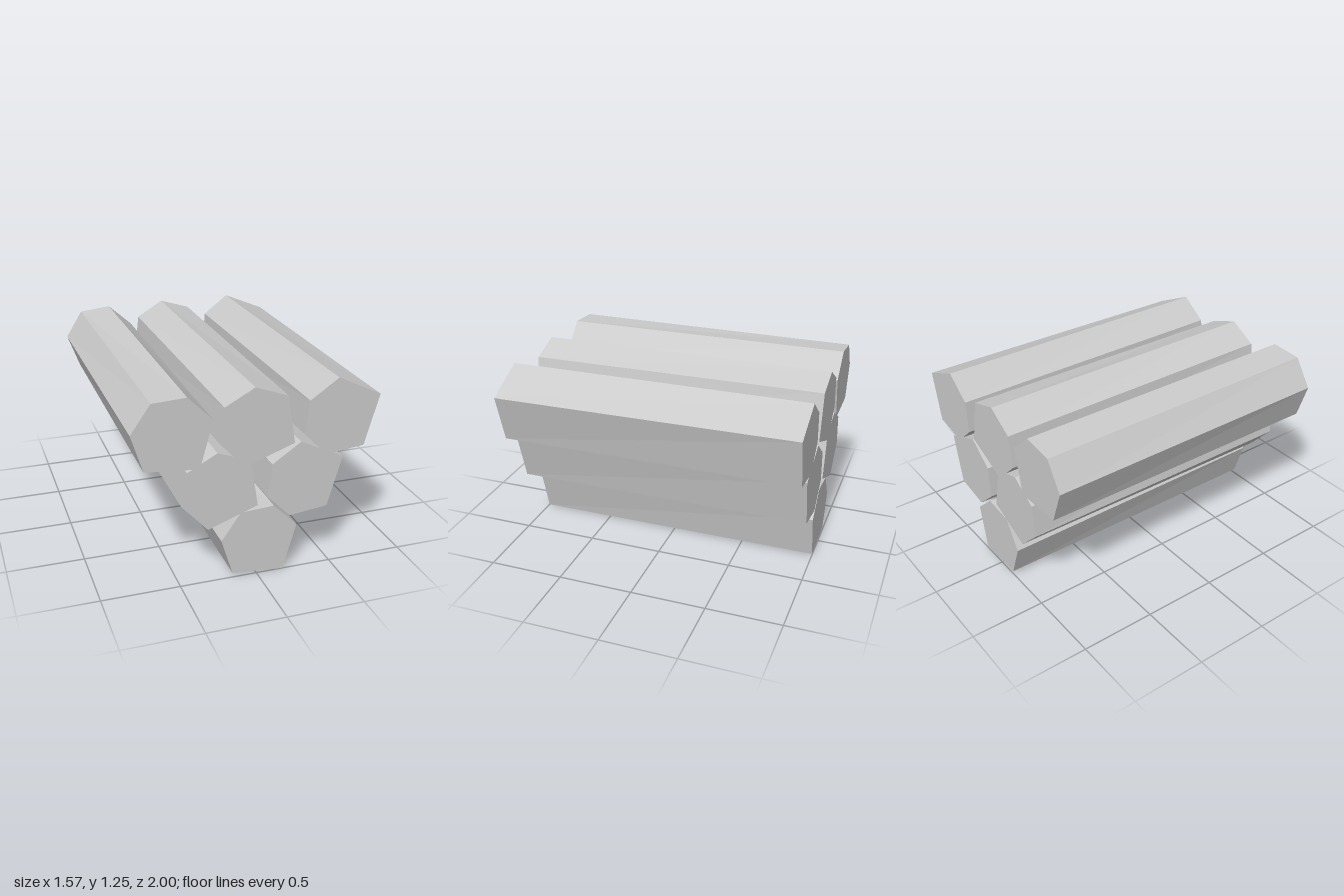
import * as THREE from 'three';

// Irregular six-sided log section, around its own centre
const SECTION = [
  [-0.242, 0.011], [-0.162, -0.226], [0.178, -0.248],
  [0.253, 0.058], [0.093, 0.211], [-0.122, 0.193],
];
const LENGTH = 2;
const TWIST = 0.05; // radians from front end to back end

// Each log: name, x, y, roll in degrees
const LOGS = [
  ['bottomLog', 0.007, 0.254, 0],
  ['middleRightLog', -0.263, 0.64, 25],
  ['middleLeftLog', 0.275, 0.611, 79.5],
  ['topRightLog', -0.543, 1.034, 0],
  ['topCentreLog', -0.033, 1.025, 25],
  ['topLeftLog', 0.505, 0.996, 79.5],
];

function logGeometry() {
  const shape = new THREE.Shape(SECTION.map(([x, y]) => new THREE.Vector2(x, y)));
  const geometry = new THREE.ExtrudeGeometry(shape, { depth: LENGTH, bevelEnabled: false });
  geometry.translate(0, 0, -LENGTH / 2);

  // Slight twist along the length
  const position = geometry.attributes.position;
  const axis = new THREE.Vector3(0, 0, 1);
  const v = new THREE.Vector3();
  for (let i = 0; i < position.count; i++) {
    v.fromBufferAttribute(position, i);
    v.applyAxisAngle(axis, -TWIST * v.z / LENGTH);
    position.setXYZ(i, v.x, v.y, v.z);
  }
  geometry.computeVertexNormals();
  return geometry;
}

export function createModel() {
  const model = new THREE.Group();
  model.name = 'logPile';
  const geometry = logGeometry();
  const material = new THREE.MeshStandardMaterial({ color: 0xcccccc, flatShading: true });

  // Three rows of logs: three on top, two in the middle, one below
  for (const [name, x, y, roll] of LOGS) {
    const log = new THREE.Mesh(geometry, material);
    log.name = name;
    log.position.set(x, y, 0);
    log.rotation.z = THREE.MathUtils.degToRad(roll);
    model.add(log);
  }
  return model;
}
